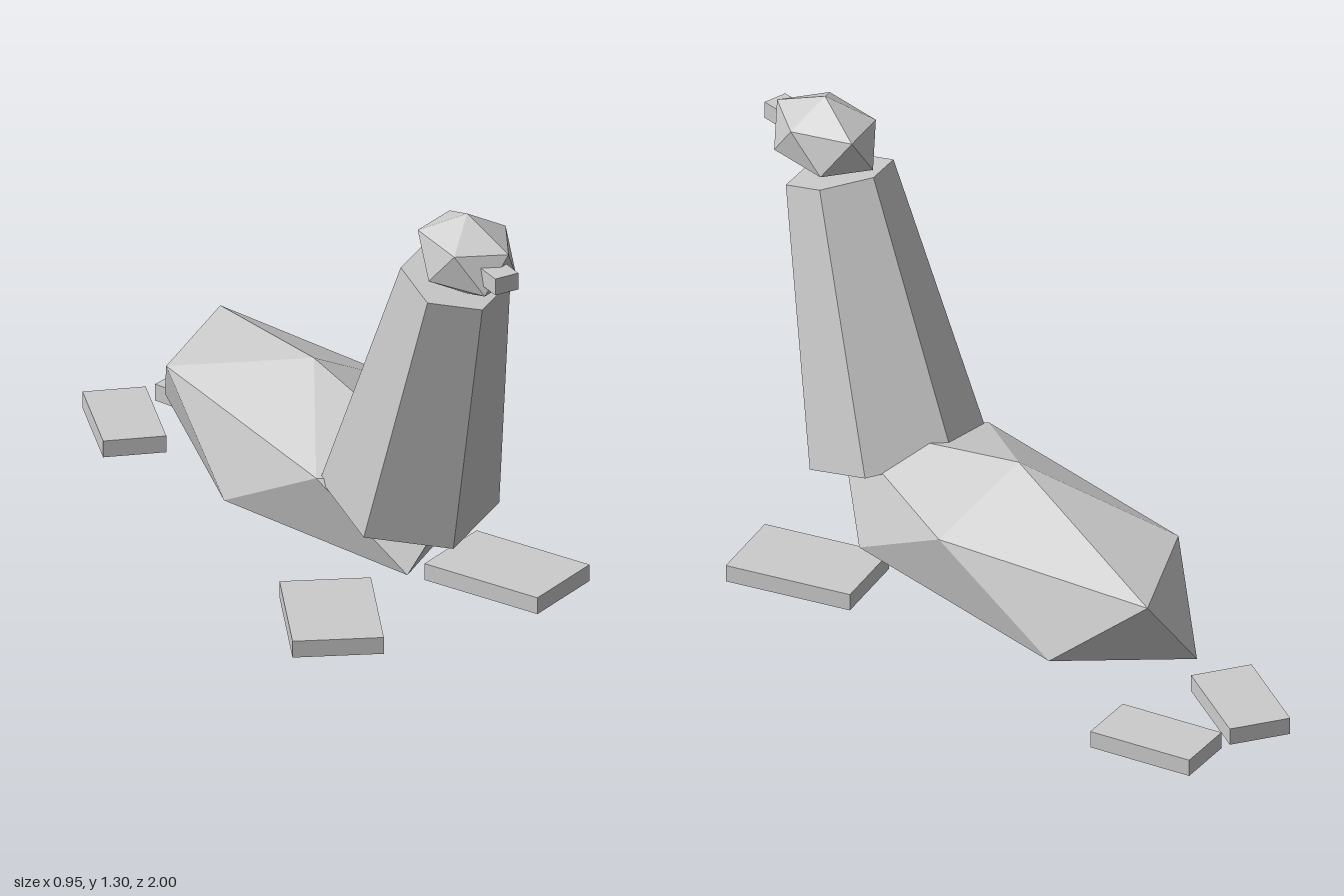
import * as THREE from 'three';
import { ConvexGeometry } from 'three/addons/geometries/ConvexGeometry.js';

// Icosahedron standing on one vertex, scaled to the given radii
function icoBall(rx, ry, rz) {
  const points = [];
  for (const s of [1, -1]) {
    points.push(new THREE.Vector3(0, s * ry, 0));
    for (let i = 0; i < 5; i++) {
      const a = (i * Math.PI * 2) / 5;
      points.push(new THREE.Vector3(
        s * 0.8944 * Math.cos(a) * rx, s * 0.4472 * ry, 0.8944 * Math.sin(a) * rz));
    }
  }
  return new ConvexGeometry(points);
}

export function createModel() {
  const model = new THREE.Group();
  model.name = 'seal';

  const skin = new THREE.MeshStandardMaterial({ color: 0xcccccc, flatShading: true });
  skin.name = 'light grey';

  const add = (name, geometry, x, y, z) => {
    const mesh = new THREE.Mesh(geometry, skin);
    mesh.name = name;
    mesh.position.set(x, y, z);
    model.add(mesh);
    return mesh;
  };

  // Long faceted body
  add('body', icoBall(0.321, 0.253, 0.776), 0, 0.258, -0.05);

  // Tapered six-sided neck leaning forward
  const neck = add('neck', new THREE.CylinderGeometry(0.153, 0.25, 0.809, 6), 0, 0.707, 0.596);
  neck.rotation.x = THREE.MathUtils.degToRad(18);

  // Head and snout
  add('head', icoBall(0.1375, 0.1225, 0.189), 0, 1.183, 0.784);
  add('snout', new THREE.BoxGeometry(0.074, 0.05, 0.1), 0, 1.18, 0.95);

  // Mirrored pairs of flippers flat on the ground
  for (const [side, s] of [['left', 1], ['right', -1]]) {
    const front = add(side + 'FrontFlipper', new THREE.BoxGeometry(0.253, 0.05, 0.378), s * 0.28, 0.026, 0.524);
    front.rotation.y = s * THREE.MathUtils.degToRad(25);
    const back = add(side + 'BackFlipper', new THREE.BoxGeometry(0.177, 0.05, 0.315), s * 0.152, 0.026, -0.822);
    back.rotation.y = s * THREE.MathUtils.degToRad(20);
  }

  return model;
}
